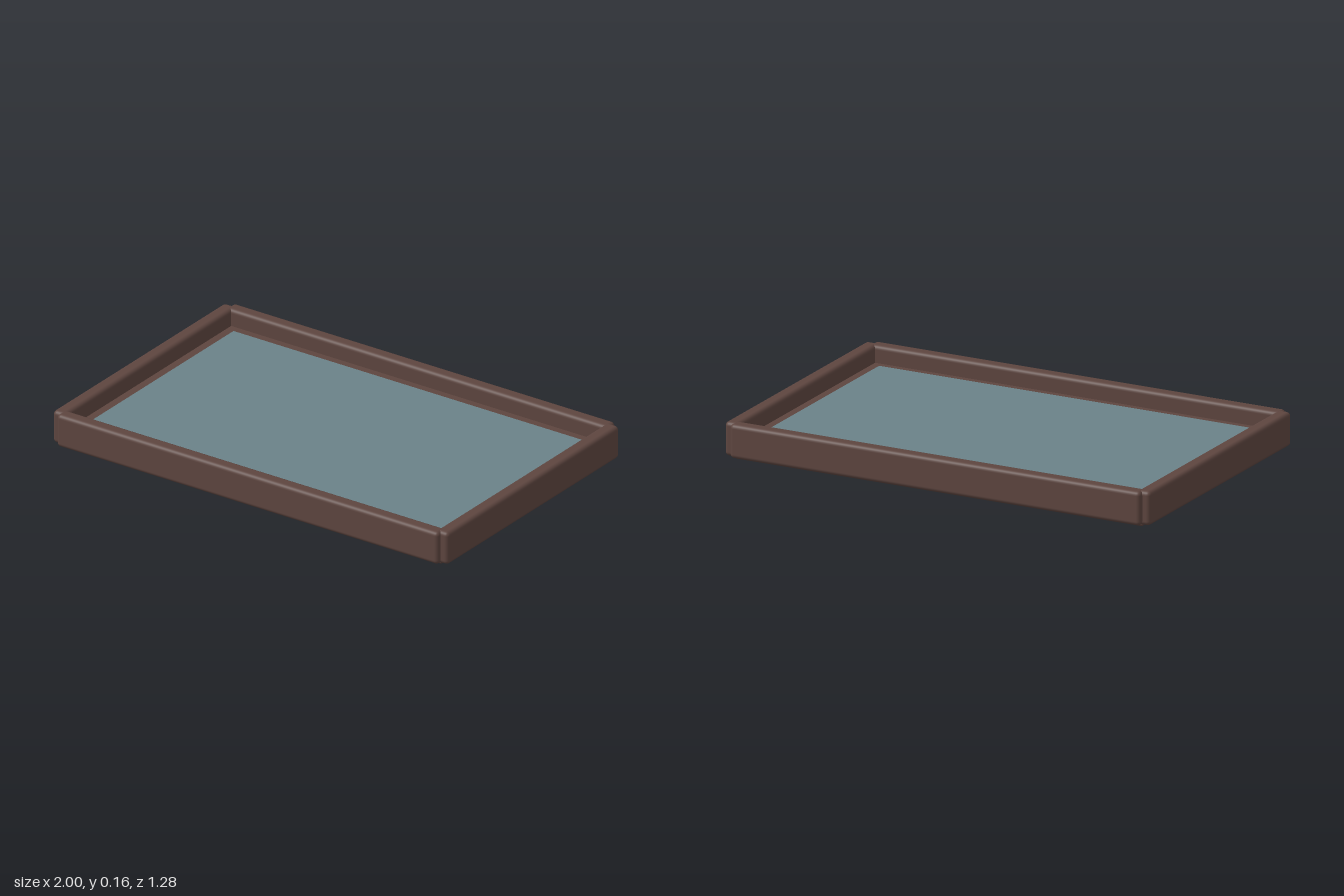
import * as THREE from 'three';
import { RoundedBoxGeometry } from 'three/addons/geometries/RoundedBoxGeometry.js';

export function createModel() {
  const model = new THREE.Group();
  model.name = 'tray';
  const wood = new THREE.MeshStandardMaterial({ name: 'dark brown wood', color: 0x5d453f });
  const lining = new THREE.MeshStandardMaterial({ name: 'grey blue lining', color: 0x6a8288 });

  function add(name, geometry, material, x, y, z) {
    const mesh = new THREE.Mesh(geometry, material);
    mesh.name = name;
    mesh.position.set(x, y, z);
    model.add(mesh);
  }

  // Base slab, just proud of the walls underneath
  add('base', new RoundedBoxGeometry(1.92, 0.085, 1.21, 3, 0.012), wood, 0, 0.0425, 0);

  // Lining panel, leaving a narrow wooden ledge around it
  add('lining', new THREE.BoxGeometry(1.79, 0.008, 1.07), lining, 0, 0.086, 0);

  // Four rounded walls, overlapping at the corners
  const wallY = 0.086, wallH = 0.148, radius = 0.018;
  const longWall = new RoundedBoxGeometry(1.93, wallH, 0.064, 3, radius);
  const shortWall = new RoundedBoxGeometry(0.064, wallH, 1.236, 3, radius);
  for (const side of [1, -1]) {
    add(side > 0 ? 'frontWall' : 'backWall', longWall, wood, 0, wallY, side * 0.608);
    add(side > 0 ? 'leftWall' : 'rightWall', shortWall, wood, side * 0.968, wallY, 0);
  }
  return model;
}
